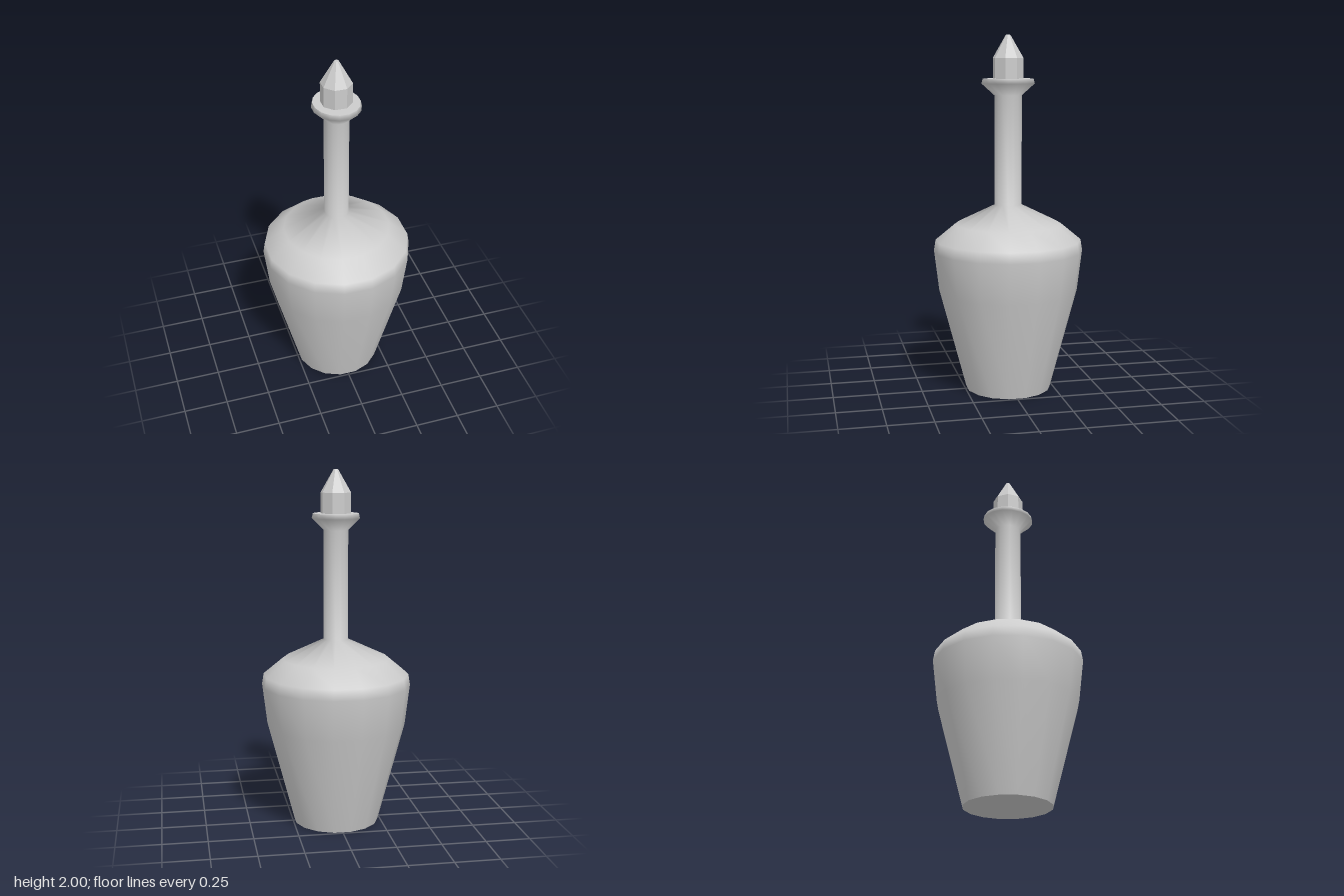
import * as THREE from 'three';

const SIDES = 16;
const FLAT = Math.cos(Math.PI / SIDES); // half-width across flats -> corner radius
const NECK_DEPTH = 1.12;                // the neck is slightly deeper than wide

// Turned surface whose flat sides face the axes; points are [half-width, y]
function turned(profile) {
  const points = profile.map(([w, y]) => new THREE.Vector2(w / FLAT, y));
  return new THREE.LatheGeometry(points, SIDES, Math.PI / SIDES);
}

// Stretch everything above the shoulder front to back
function deepenNeck(geometry) {
  const pos = geometry.attributes.position;
  for (let i = 0; i < pos.count; i++) {
    if (pos.getY(i) > 1.0) pos.setZ(i, pos.getZ(i) * NECK_DEPTH);
  }
  return geometry;
}

export function createModel() {
  const group = new THREE.Group();
  const smooth = new THREE.MeshStandardMaterial({ color: 0xcccccc });
  const faceted = new THREE.MeshStandardMaterial({ color: 0xcccccc, flatShading: true });

  function add(name, geometry, material) {
    const mesh = new THREE.Mesh(geometry, material);
    mesh.name = name;
    group.add(mesh);
    return mesh;
  }

  // Tapered body, sloping shoulder, slim neck and flared lip
  add('bottle', deepenNeck(turned([
    [0.237, 0], [0.385, 0.57], [0.412, 0.8], [0.402, 0.86], [0.295, 0.95],
    [0.067, 1.06], [0.067, 1.67], [0.13, 1.735], [0.124, 1.762],
  ])), smooth);

  // Flat closed underside and lip top
  add('base', turned([[0, 0], [0.237, 0]]), smooth);
  add('lipTop', deepenNeck(turned([[0.124, 1.762], [0, 1.762]])), smooth);

  // Eight-sided stopper with a pointed cap
  const stopperBody = new THREE.CylinderGeometry(0.086, 0.086, 0.12, 8, 1, true, Math.PI / 8);
  add('stopperBody', stopperBody, faceted).position.y = 1.815;
  const stopperTip = new THREE.CylinderGeometry(0.013, 0.086, 0.125, 8, 1, false, Math.PI / 8);
  add('stopperTip', stopperTip, faceted).position.y = 1.9375;

  return group;
}
